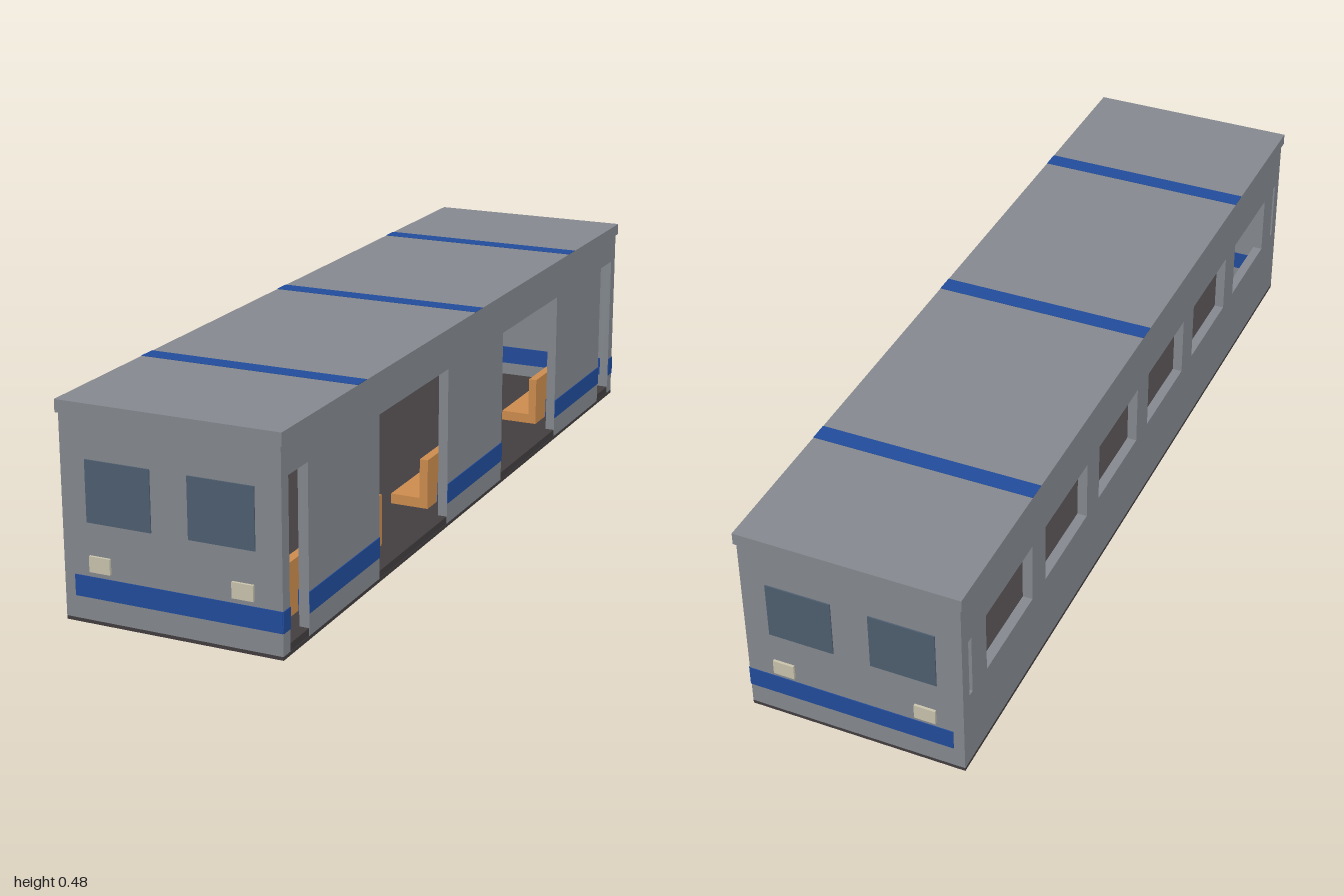
import * as THREE from 'three';

const mat = (name, color, side = THREE.FrontSide) => {
  const m = new THREE.MeshStandardMaterial({ color, side });
  m.name = name;
  return m;
};

export function createModel() {
  const model = new THREE.Group();
  model.name = 'railCar';

  const grey = mat('body grey', 0x878c92);
  const blue = mat('stripe blue', 0x234d9e);
  const orange = mat('seat orange', 0xd08f50);
  const cream = mat('lamp cream', 0xcdc7b0);
  const glass = mat('window blue grey', 0x506072);
  const dark = mat('floor dark', 0x443f41);
  const steel = mat('rail light grey', 0xc2c6ca);

  // Box given by its minimum and maximum on each axis
  const box = (name, material, [x0, x1], [y0, y1], [z0, z1], parent = model) => {
    const mesh = new THREE.Mesh(new THREE.BoxGeometry(x1 - x0, y1 - y0, z1 - z0), material);
    mesh.position.set((x0 + x1) / 2, (y0 + y1) / 2, (z0 + z1) / 2);
    mesh.name = name;
    parent.add(mesh);
    return mesh;
  };
  // Range on the + or - side of an axis
  const side = (s, a, b) => (s > 0 ? [a, b] : [-b, -a]);

  const W = 0.253, L = 0.995, T = 0.023, BASE = 0.008, TOP = 0.452;
  const END = 0.965; // inner face of the end walls

  // Floor and roof
  box('basePlate', dark, [-W, W], [0, BASE], [-L, L]);
  box('floor', dark, [-W + T, W - T], [BASE, 0.025], [-END, END]);
  box('roof', grey, [-0.258, 0.258], [TOP, 0.48], [-1, 1]);

  // Side wall drawn in (z, y) and extruded inwards or outwards along x
  const sideWall = (name, shape, outerX) => {
    const geo = new THREE.ExtrudeGeometry(shape, { depth: T, bevelEnabled: false });
    geo.rotateY(-Math.PI / 2);
    const wall = new THREE.Mesh(geo, grey);
    wall.position.x = outerX;
    wall.name = name;
    model.add(wall);
  };

  // Left wall with doorways open down to the floor
  const doors = [[-END, -0.88], [-0.542, -0.168], [0.168, 0.542], [0.88, END]];
  const doorWall = new THREE.Shape();
  doorWall.moveTo(-L, BASE);
  for (const [a, b] of doors) {
    doorWall.lineTo(a, BASE);
    doorWall.lineTo(a, 0.382);
    doorWall.lineTo(b, 0.382);
    doorWall.lineTo(b, BASE);
  }
  doorWall.lineTo(L, BASE);
  doorWall.lineTo(L, TOP);
  doorWall.lineTo(-L, TOP);
  sideWall('doorWall', doorWall, W);
  for (const [a, b] of doors) box('doorSill', dark, [W - T, W - 0.001], [BASE, 0.025], [a, b]);

  // Right wall with a row of open windows and a slot at each end
  const windowWall = new THREE.Shape();
  windowWall.moveTo(-L, BASE);
  windowWall.lineTo(L, BASE);
  windowWall.lineTo(L, TOP);
  windowWall.lineTo(-L, TOP);
  const spans = [[0.035, 0.27], [0.34, 0.575], [0.645, 0.88], [0.95, END]];
  for (const s of [-1, 1]) {
    for (const [a, b] of spans) {
      const [z0, z1] = side(s, a, b);
      const hole = new THREE.Path();
      hole.moveTo(z0, 0.192);
      hole.lineTo(z0, 0.34);
      hole.lineTo(z1, 0.34);
      hole.lineTo(z1, 0.192);
      windowWall.holes.push(hole);
    }
  }
  sideWall('windowWall', windowWall, -W + T);

  // Matching ends: wall, windows, lamps and stripe
  const stripeY = [0.058, 0.105];
  for (const s of [1, -1]) {
    const end = new THREE.Group();
    end.name = s > 0 ? 'frontEnd' : 'backEnd';
    model.add(end);
    box('endWall', grey, [-W + T, W - T], [BASE, TOP], side(s, END, L), end);
    for (const m of [1, -1]) {
      box('endWindow', glass, side(m, 0.043, 0.194), [0.224, 0.36], side(s, L, L + 0.003), end);
      box('headlight', cream, side(m, 0.141, 0.19), [0.117, 0.152], side(s, L, L + 0.006), end);
    }
    box('endStripe', blue, [-0.228, W], stripeY, side(s, L, L + 0.002), end);
    box('endInnerStripe', blue, [-0.228, W - T], stripeY, side(s, END - 0.002, END), end);
  }

  // Stripe on the solid panels of the door wall, outside and inside
  const panels = [[-L, -END], [-0.88, -0.542], [-0.168, 0.168], [0.542, 0.88], [END, L]];
  for (const p of panels) {
    box('sideStripe', blue, [W, W + 0.002], stripeY, p);
    if (p[1] - p[0] > 0.1) box('sideInnerStripe', blue, [W - T - 0.002, W - T], stripeY, p);
  }

  // Bands across the roof, repeated on the ceiling
  for (const z of [-0.63, 0, 0.635]) {
    box('roofStripe', blue, [-0.258, 0.258], [0.48, 0.481], [z - 0.022, z + 0.022]);
    box('ceilingStripe', blue, [-W + T, W - T], [TOP - 0.002, TOP], [z - 0.022, z + 0.022]);
  }

  // Benches between the doorways
  for (const z of [-0.695, 0, 0.695]) {
    const bench = new THREE.Group();
    bench.name = 'bench';
    model.add(bench);
    const span = [z - 0.222, z + 0.222];
    box('benchCushion', orange, [0.135, 0.227], [0.058, 0.082], span, bench);
    box('benchBack', orange, [0.207, 0.227], [0.082, 0.176], span, bench);
  }

  // Grab rails under the ceiling
  for (const s of [-1, 1]) {
    const geo = new THREE.CylinderGeometry(0.004, 0.004, 2 * END, 8);
    geo.rotateX(Math.PI / 2);
    const rail = new THREE.Mesh(geo, steel);
    rail.position.set(s * 0.11, 0.41, 0);
    rail.name = 'grabRail';
    model.add(rail);
  }

  return model;
}
